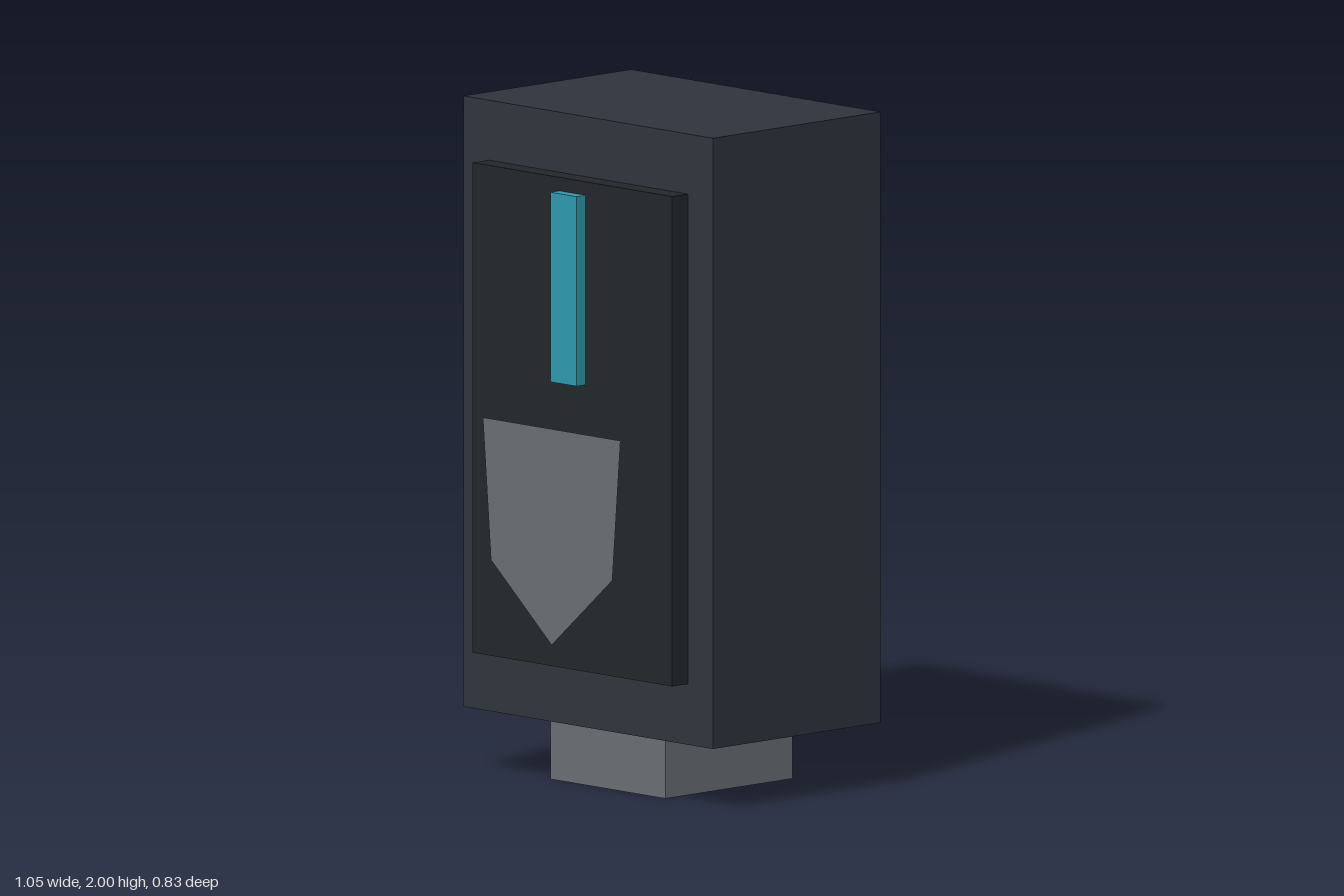
import * as THREE from 'three';

export function createModel() {
  const model = new THREE.Group();
  const dark = new THREE.MeshStandardMaterial({ color: 0x2f343d });
  const black = new THREE.MeshStandardMaterial({ color: 0x22272b });
  const cyan = new THREE.MeshStandardMaterial({ color: 0x2d9bad });
  const grey = new THREE.MeshStandardMaterial({ color: 0x686e75 });
  const plateGrey = new THREE.MeshStandardMaterial({ color: 0x686e75, side: THREE.DoubleSide });

  // Box centred on x, given its width and its y and z ranges
  function box(name, width, [y0, y1], [z0, z1], material) {
    const mesh = new THREE.Mesh(new THREE.BoxGeometry(width, y1 - y0, z1 - z0), material);
    mesh.position.set(0, (y0 + y1) / 2, (z0 + z1) / 2);
    mesh.name = name;
    model.add(mesh);
  }

  box('body', 1.052, [0.19, 2], [-0.414, 0.266], dark);
  box('frontPanel', 0.842, [0.37, 1.822], [0.266, 0.33], black);
  box('lightStrip', 0.11, [1.22, 1.782], [0.33, 0.366], cyan);
  box('foot', 0.484, [0, 0.19], [-0.33, 0.186], grey);

  // Flat pointed plate standing just off the front panel
  const outline = [[-0.29, 1.092], [-0.256, 0.674], [0, 0.452], [0.256, 0.674], [0.29, 1.092]];
  const shape = new THREE.Shape(outline.map(([x, y]) => new THREE.Vector2(x, y)));
  const plate = new THREE.Mesh(new THREE.ShapeGeometry(shape), plateGrey);
  plate.position.z = 0.414;
  plate.name = 'pointedPlate';
  model.add(plate);

  return model;
}
